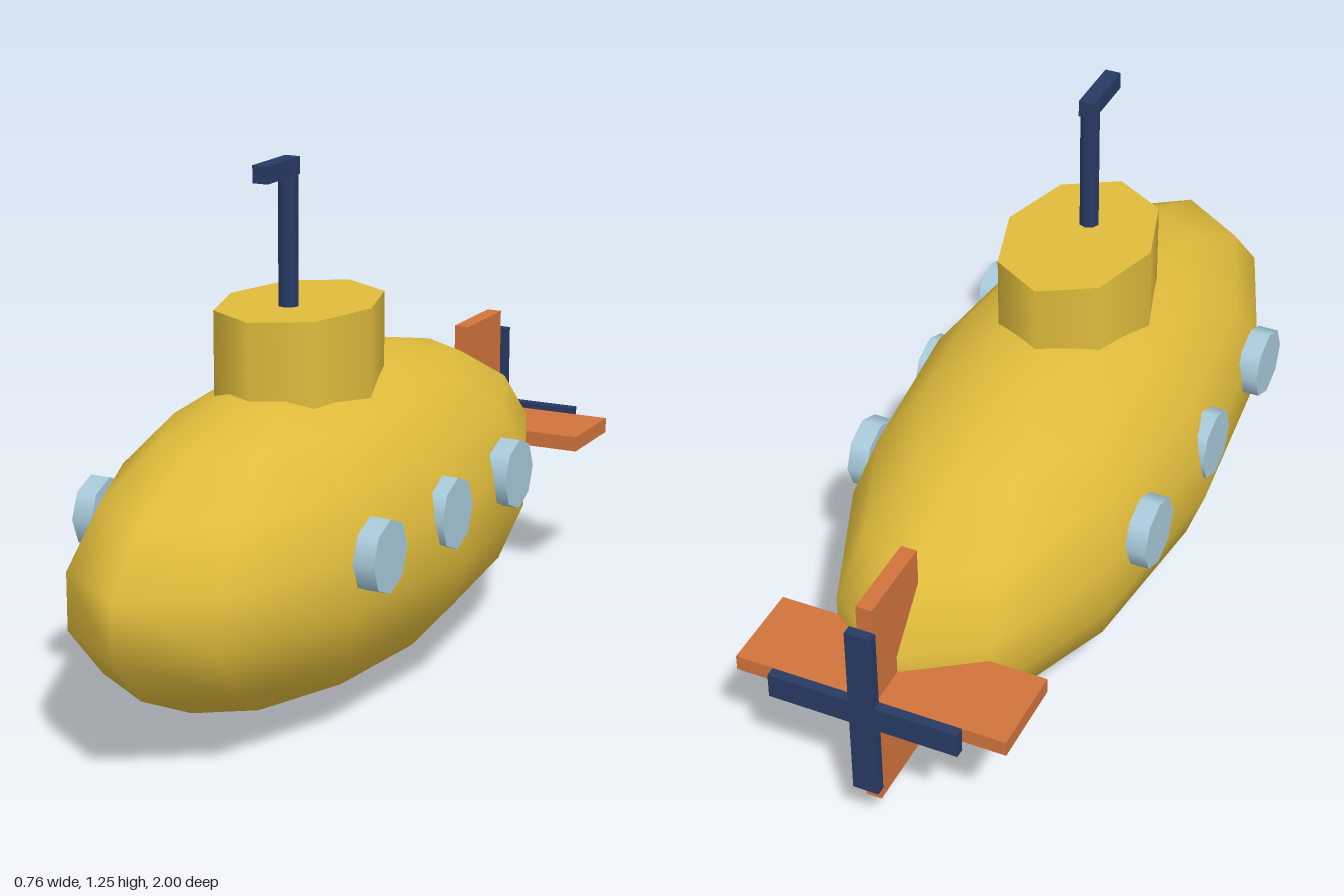
import * as THREE from 'three';

function material(name, color) {
  const m = new THREE.MeshStandardMaterial({ color });
  m.name = name;
  return m;
}

export function createModel() {
  const group = new THREE.Group();
  const yellow = material('yellow', 0xe0bc3c);
  const orange = material('orange', 0xd0743c);
  const glass = material('paleBlue', 0xa9cbdc);
  const navy = material('navy', 0x283a64);

  const add = (name, geometry, mat, x, y, z) => {
    const mesh = new THREE.Mesh(geometry, mat);
    mesh.name = name;
    mesh.position.set(x, y, z);
    group.add(mesh);
    return mesh;
  };
  const box = (name, w, h, d, mat, x, y, z) =>
    add(name, new THREE.BoxGeometry(w, h, d), mat, x, y, z);

  // Hull: a coarse sphere stretched front to back
  add('hull', new THREE.SphereGeometry(1, 12, 9).scale(0.38, 0.38, 0.953), yellow, 0, 0.38, 0.06);

  // Oval conning tower
  add('tower', new THREE.CylinderGeometry(1, 1, 0.31, 8).scale(0.18, 1, 0.252), yellow, 0, 0.756, 0.153);

  // Periscope: upright tube and forward-facing head
  add('periscopeTube', new THREE.CylinderGeometry(0.024, 0.024, 0.36, 8), navy, 0, 1.06, 0.21);
  box('periscopeHead', 0.038, 0.04, 0.154, navy, 0, 1.23, 0.265);

  // Three portholes on each side
  for (const side of [1, -1]) {
    for (const z of [0.46, 0.107, -0.25]) {
      const disc = new THREE.CylinderGeometry(0.085, 0.085, 0.05, 8).rotateZ(-side * Math.PI / 2);
      add(side > 0 ? 'leftPorthole' : 'rightPorthole', disc, glass, side * 0.354, 0.443, z);
    }
  }

  // Crossed tail fins
  box('verticalFin', 0.038, 0.555, 0.212, orange, 0, 0.383, -0.859);
  box('horizontalFin', 0.65, 0.038, 0.212, orange, 0, 0.383, -0.859);

  // Propeller: two crossed blades behind the fins
  box('verticalBlade', 0.062, 0.454, 0.024, navy, 0, 0.383, -0.988);
  box('horizontalBlade', 0.454, 0.062, 0.024, navy, 0, 0.383, -0.988);

  return group;
}
